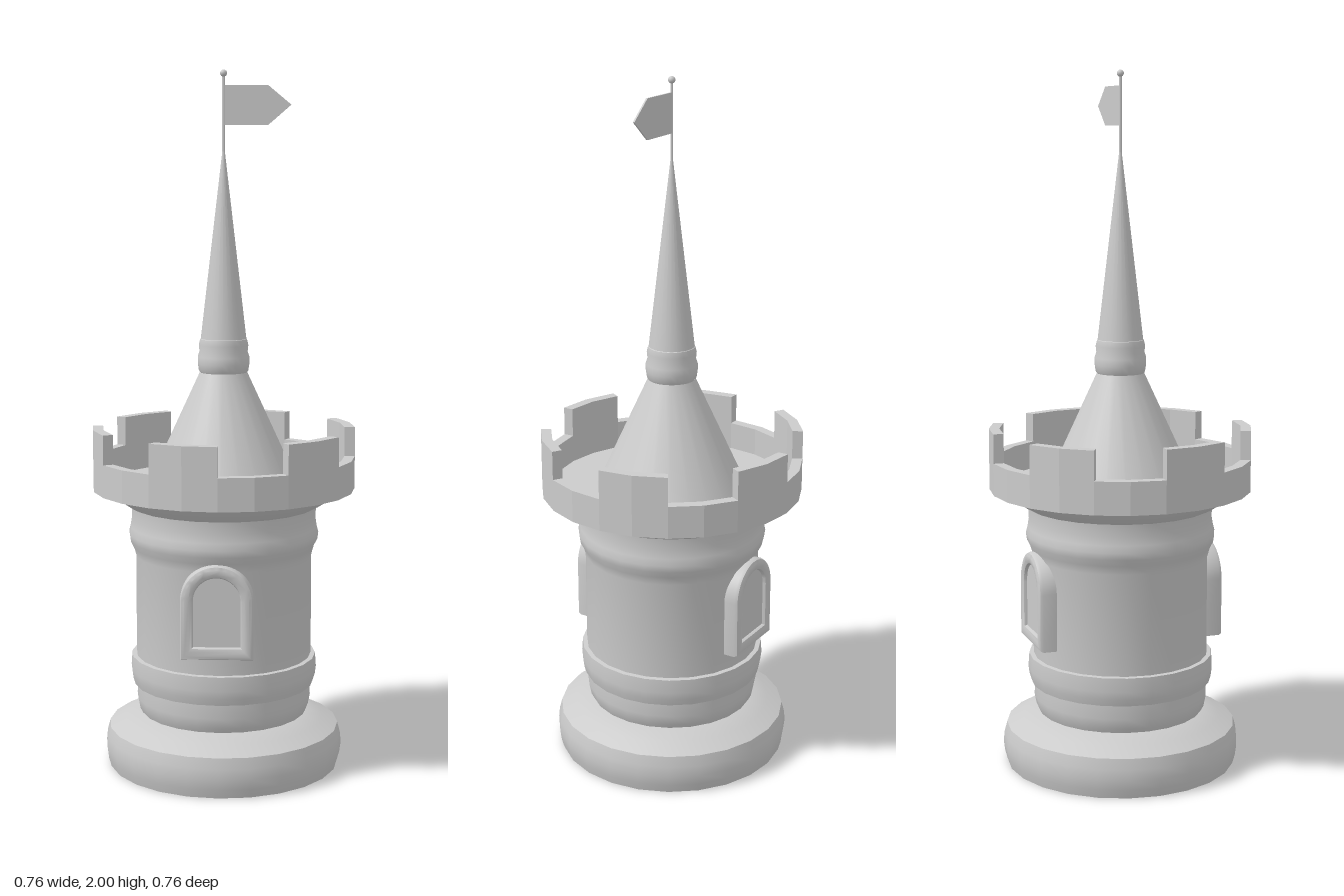
import * as THREE from 'three';
import { toCreasedNormals } from 'three/addons/utils/BufferGeometryUtils.js';

const SIDES = 24;
const material = new THREE.MeshStandardMaterial({ color: 0xcccccc });

function addMesh(parent, name, geometry) {
  const mesh = new THREE.Mesh(geometry, material);
  mesh.name = name;
  parent.add(mesh);
  return mesh;
}

// Turned part from [radius, height] pairs listed bottom to top
function turned(profile) {
  const points = profile.map(([r, y]) => new THREE.Vector2(r, y));
  return toCreasedNormals(new THREE.LatheGeometry(points, SIDES), 0.6);
}

// Points on a polygonal circle, angle measured in sides from +z towards +x
function arc(radius, first, count) {
  return Array.from({ length: count }, (_, i) => {
    const a = ((first + i) * 2 * Math.PI) / SIDES;
    return new THREE.Vector2(radius * Math.sin(a), -radius * Math.cos(a));
  });
}

// Extrude a plan shape upwards from y0 to y1
function upright(shape, y0, y1) {
  return new THREE.ExtrudeGeometry(shape, { depth: y1 - y0, bevelEnabled: false })
    .rotateX(-Math.PI / 2).translate(0, y0, 0);
}

// Round-headed opening outline, centred on x
function archOutline(Type, halfWidth, bottom, top) {
  const path = new Type();
  path.moveTo(-halfWidth, bottom);
  path.lineTo(halfWidth, bottom);
  path.lineTo(halfWidth, top - halfWidth);
  path.absarc(0, top - halfWidth, halfWidth, 0, Math.PI, false);
  path.lineTo(-halfWidth, bottom);
  return path;
}

function createWindow() {
  const group = new THREE.Group();
  // bevelled surround
  const frame = archOutline(THREE.Shape, 0.09, 0.388, 0.632);
  frame.holes.push(archOutline(THREE.Path, 0.078, 0.4, 0.62));
  const frameGeometry = new THREE.ExtrudeGeometry(frame, {
    depth: 0.06, bevelThickness: 0.012, bevelSize: 0.012, bevelSegments: 2, curveSegments: 12,
  });
  addMesh(group, 'windowFrame', toCreasedNormals(frameGeometry.translate(0, 0, 0.207), 0.6));
  // slightly recessed panel
  const panel = new THREE.ExtrudeGeometry(archOutline(THREE.Shape, 0.08, 0.398, 0.622),
    { depth: 0.06, bevelEnabled: false, curveSegments: 12 });
  addMesh(group, 'windowPanel', panel.translate(0, 0, 0.207));
  return group;
}

export function createModel() {
  const model = new THREE.Group();
  model.name = 'towerPiece';

  // Rounded foot
  addMesh(model, 'foot', turned([
    [0, 0], [0.335, 0], [0.342, 0.025], [0.346, 0.055], [0.343, 0.085], [0.335, 0.115],
    [0.29, 0.137], [0.24, 0.157], [0, 0.157],
  ]));

  // Tower wall with a swollen neck and flared cornice
  addMesh(model, 'wall', turned([
    [0.238, 0.15], [0.248, 0.17], [0.254, 0.2], [0.25, 0.24],
    [0.255, 0.33], [0.255, 0.62], [0.262, 0.645], [0.272, 0.665], [0.275, 0.685],
    [0.27, 0.705], [0.266, 0.73], [0.268, 0.765], [0.282, 0.772],
    [0.305, 0.787], [0.337, 0.81], [0.337, 0.818],
  ]));

  // Moulded band around the wall
  addMesh(model, 'band', turned([
    [0.245, 0.24], [0.262, 0.242], [0.268, 0.262], [0.271, 0.285], [0.268, 0.325], [0.245, 0.327],
  ]));

  // Matching windows, front and back
  for (const side of [1, -1]) {
    const windowGroup = createWindow();
    windowGroup.name = side > 0 ? 'frontWindow' : 'backWindow';
    windowGroup.position.x = -0.008;
    windowGroup.rotation.y = side > 0 ? 0 : Math.PI;
    model.add(windowGroup);
  }

  // Battlement: floor, parapet ring and six merlons
  const battlement = new THREE.Group();
  battlement.name = 'battlement';
  model.add(battlement);
  addMesh(battlement, 'floor', upright(new THREE.Shape(arc(0.35, 0, SIDES)), 0.817, 0.827));
  const ring = new THREE.Shape(arc(0.378, 0, SIDES));
  ring.holes.push(new THREE.Path(arc(0.348, 0, SIDES)));
  addMesh(battlement, 'parapet', upright(ring, 0.815, 0.908));
  for (let i = 0; i < 6; i++) {
    const first = i * 4 - 2;
    const plan = new THREE.Shape([...arc(0.378, first, 3), ...arc(0.348, first, 3).reverse()]);
    addMesh(battlement, 'merlon', upright(plan, 0.908, 0.992));
  }

  // Conical roof, collar and tall spire
  addMesh(model, 'roof', turned([[0.218, 0.825], [0.068, 1.15]]));
  addMesh(model, 'collar', turned([
    [0.064, 1.145], [0.071, 1.155], [0.074, 1.175], [0.074, 1.195], [0.069, 1.21],
    [0.071, 1.228], [0.067, 1.245], [0.06, 1.25],
  ]));
  addMesh(model, 'spire', turned([[0.066, 1.24], [0.003, 1.78]]));

  // Flagpole with finial
  addMesh(model, 'flagpole', new THREE.CylinderGeometry(0.004, 0.004, 0.25, 8).translate(0, 1.865, 0));
  addMesh(model, 'finial', new THREE.SphereGeometry(0.01, 12, 8).translate(0, 1.99, 0));

  // Pointed pennant
  const pennant = new THREE.Shape([[0, 1.847], [0.125, 1.847], [0.19, 1.903], [0.125, 1.957], [0, 1.957]]
    .map(([x, y]) => new THREE.Vector2(x, y)));
  addMesh(model, 'flag', new THREE.ExtrudeGeometry(pennant, { depth: 0.005, bevelEnabled: false })
    .translate(0, 0, -0.0025));

  return model;
}
